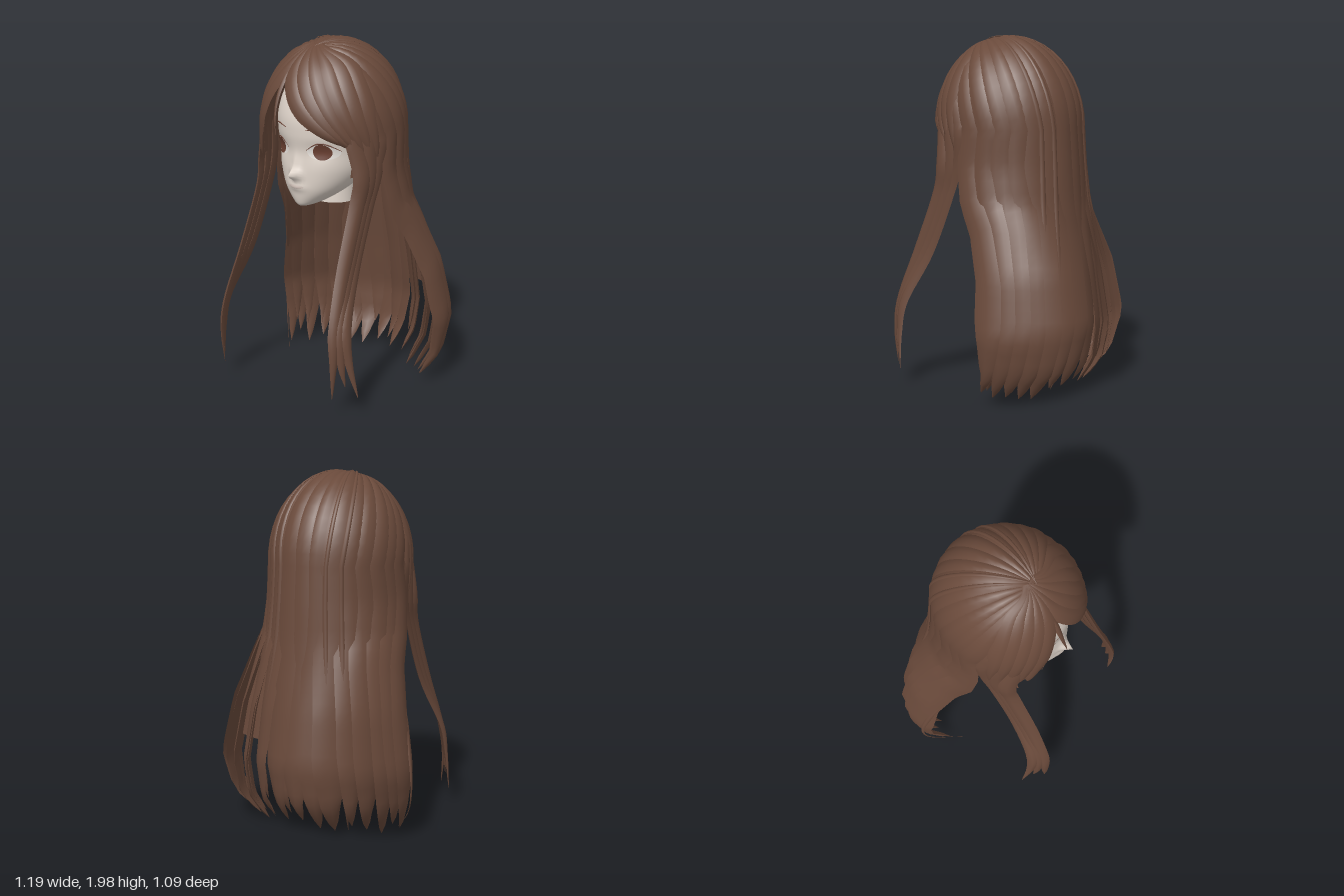
import * as THREE from 'three';
import { toCreasedNormals } from 'three/addons/utils/BufferGeometryUtils.js';

const V = (x, y, z = 0) => new THREE.Vector3(x, y, z);
const material = (name, color, side = THREE.FrontSide) => {
  const m = new THREE.MeshStandardMaterial({ color, side });
  m.name = name;
  return m;
};
let seed = 7;
const rnd = () => (seed = (seed * 16807) % 2147483647) / 2147483647;
const clamp01 = t => Math.min(1, Math.max(0, t));

// Grid surface from a function f(u, v), facing du x dv; enlarged while normals are merged
function grid(nu, nv, f, crease = Math.PI) {
  const pos = [], idx = [];
  for (let i = 0; i <= nu; i++) for (let j = 0; j <= nv; j++) pos.push(...f(i / nu, j / nv).toArray());
  for (let i = 0; i < nu; i++) for (let j = 0; j < nv; j++) {
    const a = i * (nv + 1) + j, b = a + nv + 1;
    idx.push(a, b, a + 1, b, b + 1, a + 1);
  }
  const g = new THREE.BufferGeometry();
  g.setAttribute('position', new THREE.Float32BufferAttribute(pos, 3));
  g.setIndex(idx);
  g.scale(100, 100, 100);
  return toCreasedNormals(g, crease).scale(.01, .01, .01);
}
const curve = pts => new THREE.CatmullRomCurve3(pts, false, 'catmullrom');

// Hair envelope below the dome: [y, half width, centre z, back z]
const ENV = [[2, .385, .02, -.405], [1.5, .385, .02, -.405], [1.3, .393, .045, -.42], [1.1, .42, 0, -.432],
  [.95, .455, -.1, -.445], [.7, .525, -.205, -.478], [.4, .58, -.24, -.515], [.2, .555, -.21, -.49], [0, .46, -.08, -.37]];
function env(y) {
  let i = 0;
  while (i < ENV.length - 2 && y < ENV[i + 1][0]) i++;
  const a = ENV[i], b = ENV[i + 1], t = clamp01((a[0] - y) / (a[0] - b[0]));
  return a.map((n, k) => n + (b[k] - n) * t);
}
// Point on the dome, s = 0 at the parting, s = 1 at the rim
function dome(th, s, k = 1) {
  const a = V(0, .927, .375), b = V(Math.cos(th), 0, -Math.sin(th));
  const w = a.angleTo(b), d = a.multiplyScalar(Math.sin((1 - s) * w)).add(b.multiplyScalar(Math.sin(s * w))).divideScalar(Math.sin(w));
  return V(d.x * .385 * k, 1.5 + d.y * .485 * k, .02 + d.z * (d.z < 0 ? .425 : .4) * k);
}
function fall(th, y, k = 1) {
  const [, rx, c, zb] = env(y);
  return V(rx * Math.cos(th) * k, y, c - (c - zb) * Math.sin(th) * k);
}
const strand = (th, t, tip, k) => t < .35 ? dome(th, t / .35, k) : fall(th, 1.5 + (tip - 1.5) * (t - .35) / .65, k);
const outward = p => V(p.x / .15, Math.max(0, p.y - 1.5) / .235, (p.z - env(p.y)[2]) / .16).normalize();

// Tapered lock with a lens-shaped section swept along path(t)
const SECTION = [[1, 0], [.6, .7], [0, 1], [-.6, .7], [-1, 0], [0, -.6], [1, 0]];
function lock(path, width, height, n = 30, normal = outward) {
  const rings = [];
  for (let i = 0; i <= n; i++) {
    const t = i / n, p = path(t);
    const T = path(Math.min(1, t + .01)).sub(path(Math.max(0, t - .01))).normalize();
    const W = T.clone().cross(normal(p)).normalize(), N = W.clone().cross(T);
    const w = Math.max(.0015, width(t)), h = Math.min(height, w * .6);
    rings.push(SECTION.map(([a, b]) => p.clone().addScaledVector(W, a * w).addScaledVector(N, b * h)));
  }
  return grid(n, 6, (u, v) => rings[Math.round(u * n)][Math.round(v * 6)], .9);
}

// Head cross-sections, chin to crown: [y, half width, front z, back z]
const HEAD = [[1.1, .002, .29, .27], [1.103, .035, .317, .22], [1.13, .09, .333, .1], [1.2, .178, .345, -.04], [1.3, .252, .345, -.2],
  [1.4, .284, .338, -.27], [1.5, .298, .35, -.3], [1.6, .3, .345, -.3], [1.72, .27, .3, -.28], [1.82, .2, .22, -.2], [1.88, .002, .02, 0]];
const headA = curve(HEAD.map(r => V(r[0], r[1]))), headB = curve(HEAD.map(r => V(r[2], r[3])));
const bump = (x, y, cx, cy, sx, sy) => Math.exp(-(((x - cx) / sx) ** 2) - ((y - cy) / sy) ** 2);
const relief = (x, y) => .06 * bump(x, y, 0, 1.285, .026, .03) + .018 * bump(x, y, 0, 1.34, .022, .05)
  + .014 * bump(x, y, 0, 1.215, .05, .022) - .012 * bump(Math.abs(x), y, .14, 1.42, .07, .045);
function headPoint(phi, u) {
  const a = headA.getPoint(u), b = headB.getPoint(u);
  const x = Math.max(0, a.y) * Math.sin(phi), c = Math.cos(phi);
  return V(x, a.x, (b.x + b.y) / 2 + (b.x - b.y) / 2 * c + (c > 0 ? relief(x, a.x) : 0));
}
function faceZ(x, y) {
  let lo = 0, hi = 1;
  for (let i = 0; i < 24; i++) {
    const m = (lo + hi) / 2;
    if (headA.getPoint(m).x < y) lo = m;
    else hi = m;
  }
  return headPoint(Math.asin(Math.max(-1, Math.min(1, x / headA.getPoint(lo).y))), lo).z;
}
// Thin painted oval lying on the face
const facePatch = (cx, cy, rx, ry, lift) => grid(6, 32, (u, v) => {
  const a = v * Math.PI * 2, x = cx + rx * u * Math.cos(a), y = cy + ry * u * Math.sin(a);
  return V(x, y, faceZ(x, y) + lift);
});

export function createModel() {
  seed = 7;
  const model = new THREE.Group(), head = new THREE.Group();
  head.name = 'headGroup';
  head.position.x = .013;
  model.add(head);
  const hair = material('brown hair', 0x6a4a3b, THREE.DoubleSide);
  const skin = material('pale skin', 0xdfd4ca);
  const white = material('eye white', 0xe6e0da);
  const iris = material('brown iris', 0x6b4032);
  const lip = material('lip', 0xcfc0b7);
  const add = (name, geo, mat = hair, parent = model) => {
    const m = new THREE.Mesh(geo, mat);
    m.name = name;
    parent.add(m);
    return m;
  };

  // Head, neck and ears
  add('skull', grid(64, 72, (u, v) => headPoint(u * Math.PI * 2, v)), skin, head);
  add('neck', new THREE.CylinderGeometry(.1, .115, .24, 32).translate(0, 1.205, .02), skin, head);
  for (const s of [-1, 1]) {
    const ear = add('ear', new THREE.SphereGeometry(1, 20, 14), skin, head);
    ear.scale.set(.026, .065, .045);
    ear.position.set(s * .28, 1.325, .04);
    ear.rotation.z = -s * .2;
    // Eyes and brows
    add('eyeWhite', facePatch(s * .143, 1.42, .078, .046, .003), white, head);
    add('iris', facePatch(s * .143, 1.418, .045, .044, .006), iris, head);
    const arc = (r, y0, h) => t => {
      const x = s * .143 + r * (2 * t - 1), y = y0 + h * Math.sin(Math.PI * t);
      return V(x, y, faceZ(x, y) + .004);
    };
    const thin = t => .003 * Math.sin(Math.PI * t) + .001;
    add('upperLash', lock(arc(.08, 1.425, .042), thin, .002, 20), iris, head);
    add('eyebrow', lock(arc(.075, 1.535, .012), thin, .002, 20), iris, head);
  }
  add('mouth', facePatch(0, 1.217, .052, .01, .002), lip, head);

  // Under-layer of the hair: long curtain and short sides
  add('hairCurtain', grid(40, 40, (u, v) => strand(.06 + u * (Math.PI - .12), v, .52, .96)));
  for (const s of [-1, 1]) add('sideUnderlayer', grid(10, 24, (u, v) => {
    const p = strand(-.62 * u + .1, v, 1.3, .965);
    return p.setX(p.x * s);
  }));

  // Long back locks in an outer and an inner layer
  const backLock = (name, th, tip, w, k) => add(name, lock(t => strand(th, t, tip, k), t => {
    const y = 1.5 + (tip - 1.5) * (t - .35) / .65;
    if (t < .35) return w * (.12 + .88 * Math.sin(t / .35 * Math.PI / 2));
    return w * (1 + .4 * clamp01((1.5 - y) / 1.1)) * clamp01((y - tip) / .42) ** .65;
  }, .017, 40));
  for (let i = 0; i < 15; i++)
    backLock('backLock', .11 + (i + (rnd() - .5) * .3) / 14 * (Math.PI - .22), .02 + rnd() * .07, .06 + rnd() * .014, .985 + rnd() * .025);
  for (let i = 0; i < 12; i++)
    backLock('innerLock', .14 + i / 11 * (Math.PI - .28), .04 + rnd() * .16, .05, .94);
  for (const a of [1.02, 1.2, 1.95, 2.15]) backLock('fineStrand', a, .03 + rnd() * .1, .014, 1.03);

  // Long locks falling in front of the shoulders
  for (const s of [-1, 1]) for (let k = -1; k <= 1; k++) {
    const th = -.38 + k * -.2;
    const pts = [0, .35, .7, 1].map(q => dome(th, q, .99));
    pts.push(V(.362, 1.3, .16 + k * .055), V(.355, 1.13, .205 + k * .042), V(.37, .8, .335 + k * .04),
      V(.415 - k * .015, .52, .455 + k * .025), V(.44 - k * .025, .33, .475 + k * .035), V(.455 - k * .05, .13 + (k === 0 ? .07 : 0), .46 + k * .05));
    pts.forEach(p => p.setX(p.x * s));
    const c = curve(pts);
    add('frontLock', lock(t => c.getPoint(t), t => .05 * Math.min(1, .15 + t * 3) * (t > .5 ? 1 - (t - .5) * .75 : 1) * clamp01((1 - t) / .2) ** .7,
      .02, 44, p => p.y > 1.5 ? outward(p) : V(s, 0, .45).normalize()));
  }

  // Swept fringe: locks fanned between an inner and an outer edge
  const front = (p, k = 1) => {
    const q = 1 - (p.x / .39) ** 2 - (Math.max(0, p.y - 1.5) / .485) ** 2;
    return V(p.x * k, 1.5 + (p.y - 1.5) * k, .02 + .4 * Math.sqrt(Math.max(0, q)) * k);
  };
  const fringe = (name, inner, outer, n) => {
    const mix = f => curve(inner.map((p, i) => V(p[0] + (outer[i][0] - p[0]) * f, p[1] + (outer[i][1] - p[1]) * f)));
    add(name + 'Underlayer', grid(24, 30, (u, v) => front(mix(u).getPoint(v), .975)));
    for (let i = 0; i < n; i++) {
      const c = mix(1 - (1 - i / (n - 1)) ** 1.3);
      add(name + 'Lock', lock(t => front(c.getPoint(t)), t => .052 * Math.min(1, .4 + t * 2) * clamp01((1 - t) / .35) ** .6, .016, 30));
    }
  };
  fringe('leftFringe', [[-.03, 1.965], [-.03, 1.84], [.045, 1.705], [.17, 1.585], [.315, 1.465]],
    [[.01, 1.965], [.2, 1.89], [.31, 1.75], [.368, 1.57], [.383, 1.38]], 6);
  fringe('rightFringe', [[-.03, 1.965], [-.09, 1.85], [-.185, 1.69], [-.25, 1.53], [-.285, 1.34]],
    [[-.035, 1.965], [-.2, 1.89], [-.31, 1.75], [-.368, 1.57], [-.38, 1.32]], 5);

  // Loose strands over the forehead and beside the curtain
  const loose = (name, pts, w, place = p => p) => {
    const c = curve(pts);
    add(name, lock(t => place(c.getPoint(t)), t => w * clamp01((1 - t) / .6), .01, 30));
  };
  const onFront = p => front(p);
  loose('foreheadStrand', [V(-.05, 1.93), V(-.08, 1.8), V(-.09, 1.65), V(-.075, 1.5)], .018, onFront);
  loose('foreheadStrand', [V(-.06, 1.92), V(-.14, 1.75), V(-.2, 1.6), V(-.225, 1.46)], .02, onFront);
  loose('sideWisp', [V(-.4, 1.2, .02), V(-.46, .88, -.1), V(-.55, .58, -.2), V(-.595, .35, -.24), V(-.56, .17, -.2), V(-.43, .02, -.07)], .016);
  return model;
}
